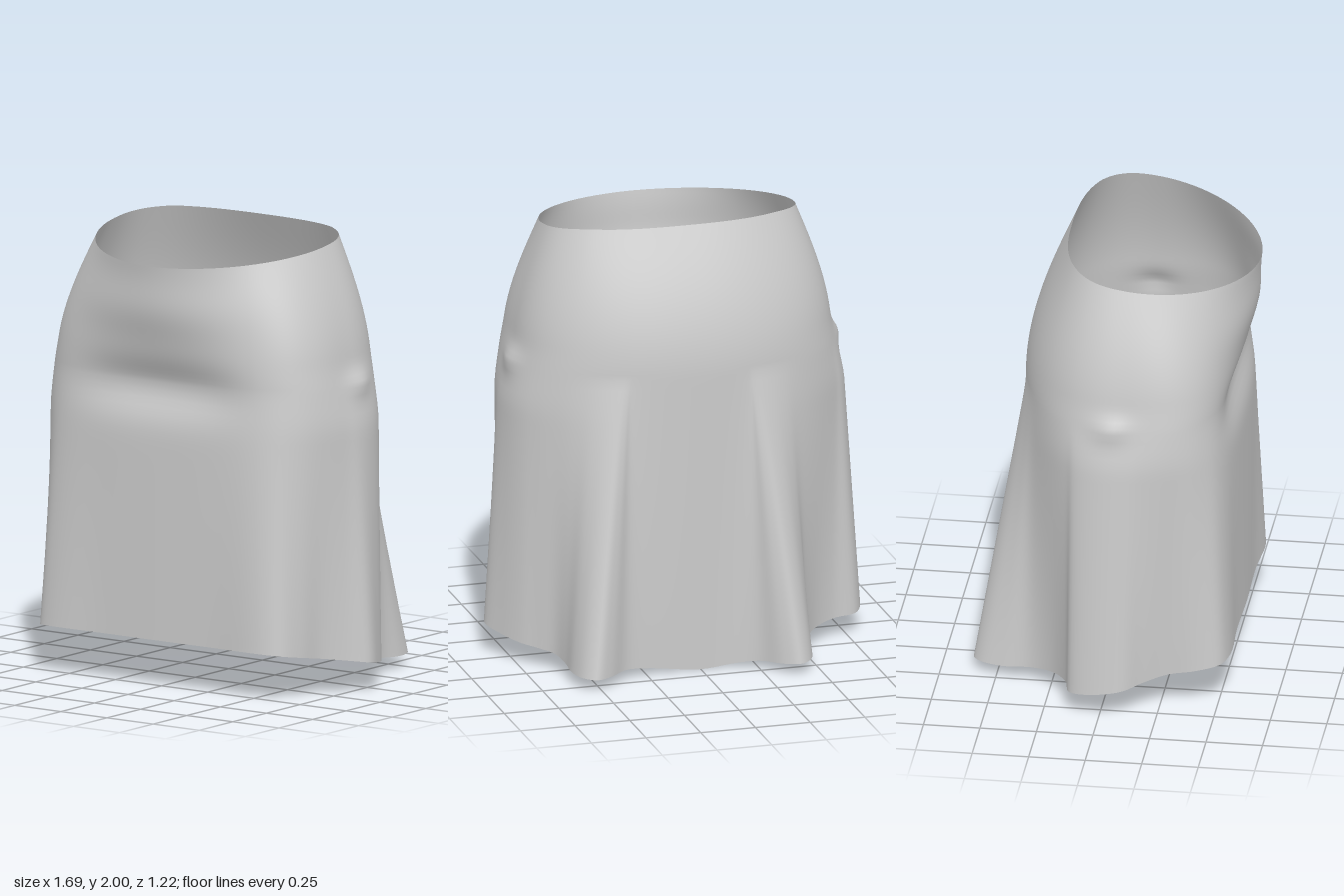
import * as THREE from 'three';

const AROUND = 192, ROWS = 56, HIP_ROW = 24, HIP_Y = 1.35;
const gauss = (v, c, w) => Math.exp(-(((v - c) / w) ** 2));
const mix = THREE.MathUtils.lerp;

// Hem outline (x, z): flared folds at the sides and two deep folds at the back
const hemLeft = [
  [0, 0.545], [0.3, 0.54], [0.56, 0.55], [0.65, 0.51], [0.69, 0.41], [0.71, 0.29],
  [0.77, 0.19], [0.84, 0.1], [0.8, -0.02], [0.74, -0.12], [0.68, -0.18], [0.62, -0.25],
  [0.6, -0.34], [0.6, -0.46], [0.57, -0.55], [0.52, -0.585], [0.45, -0.55], [0.35, -0.46],
  [0.23, -0.425], [0, -0.41],
];
const hemRight = [
  [-0.15, -0.42], [-0.25, -0.47], [-0.33, -0.57], [-0.4, -0.61], [-0.455, -0.57],
  [-0.49, -0.47], [-0.5, -0.35], [-0.57, -0.24], [-0.68, -0.165], [-0.79, -0.135],
  [-0.84, -0.03], [-0.835, 0.1], [-0.76, 0.19], [-0.7, 0.29], [-0.69, 0.41],
  [-0.65, 0.51], [-0.55, 0.545], [-0.3, 0.54],
];

// Point on a ring in direction (s, c); front and back halves have their own depth and squareness
function ringPoint(s, c, { halfWidth, front, back, zMid }) {
  const [depth, n] = c > 0 ? front : back;
  const r = (Math.abs(s / halfWidth) ** n + Math.abs(c / depth) ** n) ** (-1 / n);
  return [r * s, zMid + r * c];
}
const hip = { halfWidth: 0.765, front: [0.48, 3.1], back: [0.48, 2.15], zMid: 0.06 };
const waist = { halfWidth: 0.57, front: [0.525, 1.9], back: [0.31, 2.6], zMid: 0.08 };

function hemHeight(x, z) {
  const y = Math.max(0.055, 0.12 + 0.165 * z);
  return z < 0 ? y - 0.055 * gauss(x, 0, 0.25) : y;
}

function skirtGeometry() {
  const hem = new THREE.CatmullRomCurve3(
    [...hemLeft, ...hemRight].map(([x, z]) => new THREE.Vector3(x, hemHeight(x, z), z)), true);
  const positions = [], index = [];

  for (let j = 0; j <= ROWS; j++) {
    for (let i = 0; i < AROUND; i++) {
      const h = hem.getPoint(i / AROUND);
      const angle = Math.atan2(h.x, h.z - 0.06);
      const s = Math.sin(angle), c = Math.cos(angle);
      const [hx, hz] = ringPoint(s, c, hip);
      const [wx, wz] = ringPoint(s, c, waist);
      const wy = Math.min(1.995, 1.972 - 0.14 * wz);
      let x, y, z, e = 1;
      if (j <= HIP_ROW) {
        // Waist rounding out to the hips
        const t = j / HIP_ROW;
        e = Math.sin(t * Math.PI / 2);
        x = mix(wx + 0.01, hx, e); y = mix(wy, HIP_Y, t); z = mix(wz, hz, e);
      } else {
        // Hips falling into the folds of the hem
        const t = (j - HIP_ROW) / (ROWS - HIP_ROW);
        x = mix(hx, h.x, t); y = mix(HIP_Y, Math.max(0, h.y), t); z = mix(hz, h.z, t);
      }
      // Rounded belly with a pinched crease below it
      if (c > 0) {
        const across = Math.exp(-((x / 0.45) ** 4)) * c;
        z += across * (0.025 * gauss(y, 1.68, 0.13) - 0.055 * gauss(y, 1.33, 0.11));
      }
      // Sides drawn in above the hip, with a small tuck at each side seam
      const drawnIn = 0.045 * e * THREE.MathUtils.smoothstep(y, 1.15, 1.48);
      const tuck = 0.025 * gauss(y, 1.36, 0.05) * gauss(z, 0.04, 0.09);
      x += Math.sign(s) * s ** 4 * (tuck - drawnIn);
      positions.push(x, y, z);
    }
  }
  for (let j = 0; j < ROWS; j++) {
    for (let i = 0; i < AROUND; i++) {
      const a = j * AROUND + i, b = j * AROUND + (i + 1) % AROUND;
      index.push(a, a + AROUND, b, b, a + AROUND, b + AROUND);
    }
  }
  const geometry = new THREE.BufferGeometry();
  geometry.setAttribute('position', new THREE.Float32BufferAttribute(positions, 3));
  geometry.setIndex(index);
  geometry.computeVertexNormals();
  return geometry;
}

export function createModel() {
  const group = new THREE.Group();
  group.name = 'skirt';
  const cloth = new THREE.MeshStandardMaterial({ color: 0xcccccc, side: THREE.DoubleSide });
  const mesh = new THREE.Mesh(skirtGeometry(), cloth);
  mesh.name = 'skirtCloth';
  group.add(mesh);
  return group;
}
